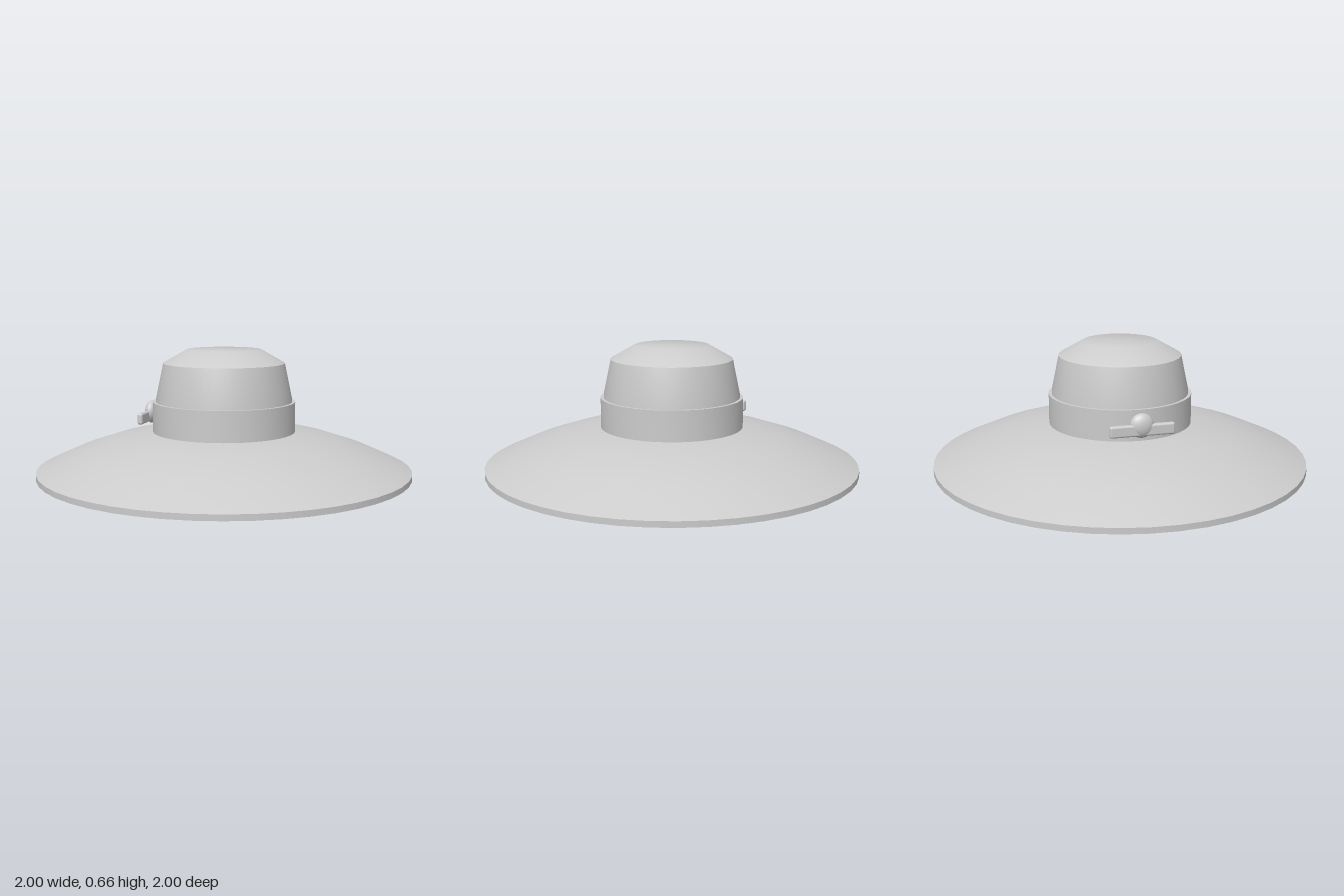
import * as THREE from 'three';
import { toCreasedNormals } from 'three/addons/utils/BufferGeometryUtils.js';
import { RoundedBoxGeometry } from 'three/addons/geometries/RoundedBoxGeometry.js';

const material = new THREE.MeshStandardMaterial({ color: 0xcccccc });

// Revolves [radius, height] pairs listed up the outside and down the inside
function turned(name, profile) {
  const points = profile.map(([r, y]) => new THREE.Vector2(r, y));
  const mesh = new THREE.Mesh(toCreasedNormals(new THREE.LatheGeometry(points, 48), 0.6), material);
  mesh.name = name;
  return mesh;
}

export function createModel() {
  const hat = new THREE.Group();
  hat.name = 'hat';

  // Wide sloping brim with a hole for the head
  hat.add(turned('brim', [
    [1, 0], [1, 0.03], [0.8, 0.12], [0.6, 0.187], [0.4, 0.222], [0.345, 0.228],
    [0.345, 0.14], [0.4, 0.137], [0.6, 0.115], [0.8, 0.065], [1, 0],
  ]));

  // Hollow tapered crown with a shallow bevelled top
  hat.add(turned('crown', [
    [0.345, 0.2], [0.365, 0.2], [0.365, 0.4], [0.325, 0.59], [0.2, 0.662], [0, 0.662],
    [0, 0.64], [0.19, 0.64], [0.307, 0.575], [0.345, 0.4], [0.345, 0.2],
  ]));

  // Ribbon band around the foot of the crown
  hat.add(turned('band', [
    [0.36, 0.215], [0.382, 0.215], [0.382, 0.385], [0.36, 0.385], [0.36, 0.215],
  ]));

  // Bow on the side of the band: flattened knot and a straight ribbon bar
  const bow = new THREE.Group();
  bow.name = 'bow';
  const knot = new THREE.Mesh(new THREE.SphereGeometry(0.063, 24, 16), material);
  knot.name = 'bowKnot';
  knot.scale.x = 0.57;
  knot.position.set(-0.41, 0.312, 0);
  const bar = new THREE.Mesh(new RoundedBoxGeometry(0.03, 0.06, 0.335, 3, 0.011), material);
  bar.name = 'bowRibbon';
  bar.position.set(-0.421, 0.292, 0);
  bow.add(knot, bar);
  hat.add(bow);

  return hat;
}
